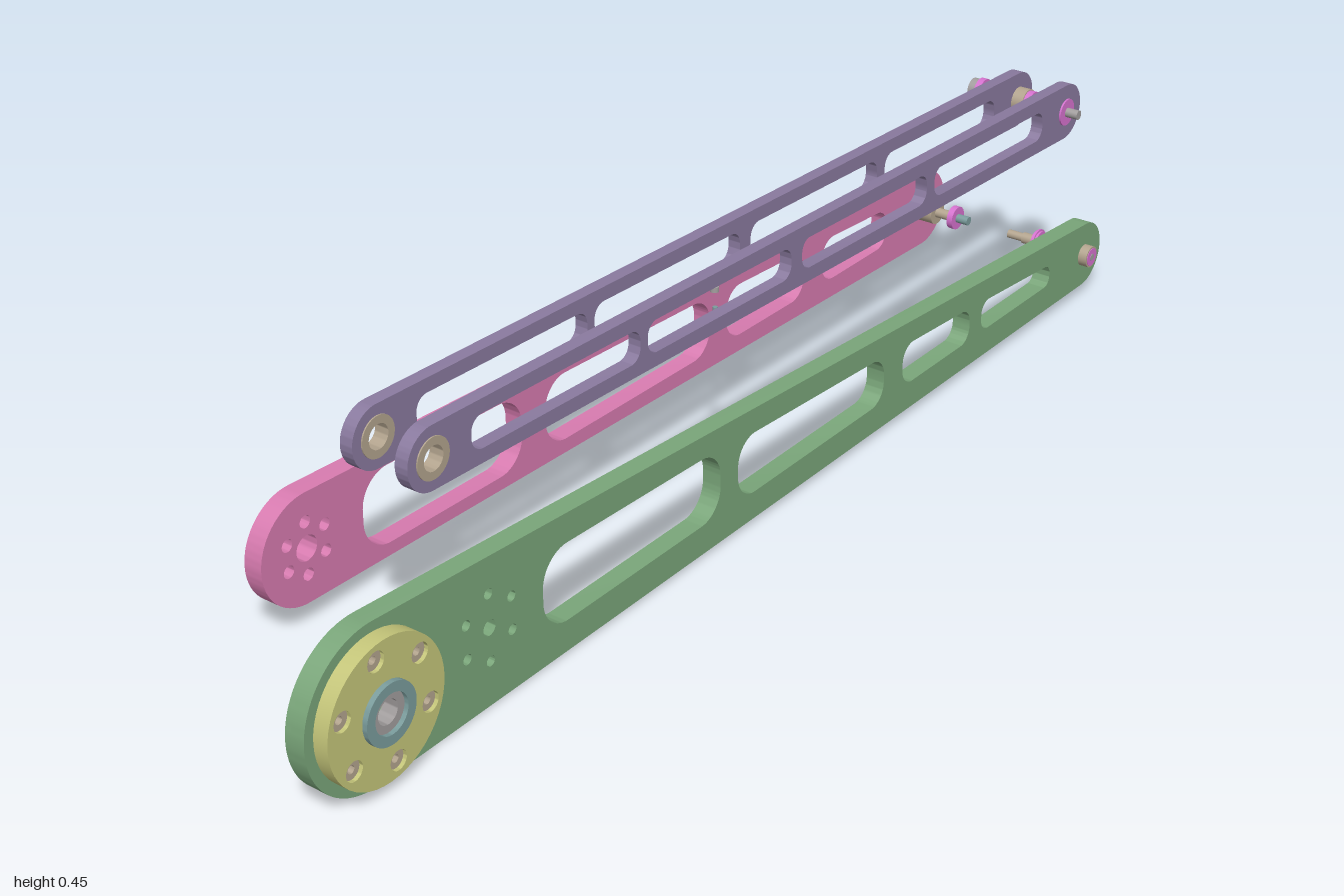
import * as THREE from 'three';
import { toCreasedNormals } from 'three/addons/utils/BufferGeometryUtils.js';

const mat = (name, color) => {
  const m = new THREE.MeshStandardMaterial({ color });
  m.name = name;
  return m;
};

export function createModel() {
  const root = new THREE.Group();
  const green = mat('green', 0x7aa67a), pink = mat('pink', 0xd87bb0), purple = mat('purple', 0x8a7a9f);
  const yellow = mat('yellow', 0xc5c67a), tan = mat('tan', 0xb3a48e), magenta = mat('magenta', 0xd672cf);
  const gray = mat('gray', 0xa29e9e), teal = mat('teal', 0x7a9c9c);

  const circle = (x, y, r) => new THREE.Path().absarc(x, y, r, 0, Math.PI * 2, true);
  const holeRing = (x, y, ringR, r, phase) => Array.from({ length: 6 }, (_, i) => {
    const a = phase + i * Math.PI / 3;
    return circle(x + ringR * Math.cos(a), y + ringR * Math.sin(a), r);
  });

  // Flat plate from z0 to z1
  function plate(name, shape, holes, z0, z1, material, parent = root) {
    shape.holes.push(...holes);
    const geo = new THREE.ExtrudeGeometry(shape, { depth: z1 - z0, bevelEnabled: false, curveSegments: 24 });
    geo.translate(0, 0, z0);
    const mesh = new THREE.Mesh(toCreasedNormals(geo, 0.6), material);
    mesh.name = name;
    parent.add(mesh);
  }

  // Two round ends joined by their outer tangents
  function armShape(x1, y1, r1, x2, y2, r2) {
    const a = Math.atan2(y2 - y1, x2 - x1);
    const b = Math.acos((r1 - r2) / Math.hypot(x2 - x1, y2 - y1));
    const s = new THREE.Shape();
    s.absarc(x2, y2, r2, a - b, a + b, false);
    s.absarc(x1, y1, r1, a + b, a - b + Math.PI * 2, false);
    s.closePath();
    return s;
  }

  // Tapered window with rounded corners
  function slot(x0, x1, b0, t0, b1, t1, round = 0.42) {
    const c = [[x0, b0], [x0, t0], [x1, t1], [x1, b1]].map(p => new THREE.Vector2(...p));
    const p = new THREE.Path();
    c.forEach((v, i) => {
      const prev = c[(i + 3) % 4], next = c[(i + 1) % 4];
      const r = round * (v.x === x0 ? t0 - b0 : t1 - b1);
      const s = prev.clone().sub(v).setLength(r).add(v), e = next.clone().sub(v).setLength(r).add(v);
      if (i) p.lineTo(s.x, s.y); else p.moveTo(s.x, s.y);
      const k = 0.45;
      const h1 = s.clone().lerp(v, 1 - k), h2 = e.clone().lerp(v, 1 - k);
      p.bezierCurveTo(h1.x, h1.y, h2.x, h2.y, e.x, e.y);
    });
    p.closePath();
    return p;
  }

  const disc = (x, y, r) => new THREE.Shape().absarc(x, y, r, 0, Math.PI * 2, false);

  // Stepped pin along z, each step is [zFront, zBack, radius, material]
  function pin(name, x, y, steps) {
    const g = new THREE.Group();
    g.name = name;
    g.position.set(x, y, 0);
    steps.forEach(([z0, z1, r, m], i) => {
      const mesh = new THREE.Mesh(new THREE.CylinderGeometry(r, r, z0 - z1, 32).rotateX(Math.PI / 2), m);
      mesh.position.z = (z0 + z1) / 2;
      mesh.name = name + 'Step' + (i + 1);
      g.add(mesh);
    });
    root.add(g);
  }

  // Front arm with hub end
  const hx = -0.878, hy = 0.123;
  plate('frontArm', armShape(hx, 0.122, 0.122, 0.924, 0.078, 0.058), [
    slot(-0.548, -0.147, 0.053, 0.177, 0.056, 0.165),
    slot(-0.104, 0.286, 0.054, 0.157, 0.058, 0.138),
    slot(0.34, 0.543, 0.06, 0.133, 0.062, 0.122),
    slot(0.58, 0.805, 0.063, 0.118, 0.065, 0.103),
    circle(hx, hy, 0.02), ...holeRing(hx, hy, 0.083, 0.008, 1.75),
    circle(-0.657, 0.123, 0.012), ...holeRing(-0.657, 0.123, 0.052, 0.008, Math.PI / 6),
  ], 0.143, 0.175, green);

  // Hub: disc, centre rings and recessed bolts
  const hub = new THREE.Group();
  hub.name = 'hub';
  root.add(hub);
  plate('hubDisc', disc(hx, hy, 0.106), [circle(hx, hy, 0.03), ...holeRing(hx, hy, 0.083, 0.015, 1.75)], 0.175, 0.199, yellow, hub);
  plate('hubRing', disc(hx, hy, 0.045), [circle(hx, hy, 0.03)], 0.199, 0.207, teal, hub);
  plate('hubSleeve', disc(hx, hy, 0.03), [circle(hx, hy, 0.018)], 0.175, 0.2, gray, hub);
  for (let i = 0; i < 6; i++) {
    const a = 1.75 + i * Math.PI / 3, bx = hx + 0.083 * Math.cos(a), by = hy + 0.083 * Math.sin(a);
    plate('hubBolt', disc(bx, by, 0.0148), [circle(bx, by, 0.006)], 0.175, 0.193, tan, hub);
  }

  // Rear arm
  plate('rearArm', armShape(-0.657, 0.123, 0.087, 0.926, 0.078, 0.07), [
    slot(-0.545, -0.2, 0.055, 0.182, 0.05, 0.172),
    slot(-0.145, 0.274, 0.05, 0.166, 0.048, 0.15),
    slot(0.32, 0.545, 0.048, 0.143, 0.048, 0.133),
    slot(0.6, 0.803, 0.048, 0.13, 0.05, 0.12),
    circle(-0.657, 0.123, 0.02), ...holeRing(-0.657, 0.123, 0.042, 0.01, Math.PI / 6),
  ], -0.189, -0.157, pink);

  // Pair of upper links with bushings
  const lx = -0.733, ly = 0.406, rx = 0.851, ry = 0.365;
  const mid = x => ly + (ry - ly) * (x - lx) / (rx - lx);
  for (const z of [0.139, 0.046]) {
    const windows = [[-0.66, -0.313], [-0.297, 0.045], [0.072, 0.414], [0.436, 0.773]].map(([a, b]) =>
      slot(a, b, mid(a) - 0.025, mid(a) + 0.025, mid(b) - 0.025, mid(b) + 0.025));
    plate('upperLink', armShape(lx, ly, 0.046, rx, ry, 0.048), [...windows, circle(lx, ly, 0.03)], z, z + 0.021, purple);
    plate('linkBushing', disc(lx, ly, 0.03), [circle(lx, ly, 0.018)], z, z + 0.023, tan);
  }

  // Pins and spacers
  pin('linkPin', rx, ry, [
    [0.185, 0.16, 0.008, gray], [0.163, 0.159, 0.023, magenta], [0.139, 0.12, 0.022, tan],
    [0.139, -0.008, 0.01, gray], [0.099, 0.088, 0.021, magenta], [0.088, 0.067, 0.023, tan],
    [0.046, 0.027, 0.022, tan], [0.003, -0.008, 0.022, magenta], [-0.008, -0.022, 0.019, gray],
  ]);
  pin('frontArmPin', 0.924, 0.078, [
    [0.191, 0.175, 0.019, tan], [0.192, 0.191, 0.016, magenta], [0.193, 0.192, 0.006, gray],
    [0.143, 0.127, 0.024, pink], [0.127, 0.09, 0.009, tan], [0.09, 0.079, 0.02, magenta],
    [0.086, 0.083, 0.023, magenta], [0.079, 0.055, 0.01, tan], [0.055, 0.025, 0.0075, tan],
  ]);
  pin('rearArmPin', 0.926, 0.078, [
    [-0.06, -0.083, 0.008, teal], [-0.083, -0.094, 0.021, magenta], [-0.094, -0.126, 0.009, tan],
    [-0.126, -0.157, 0.022, tan], [-0.189, -0.205, 0.02, teal],
  ]);

  // Loose upright screws, heads down
  function screw(name, x, z, y0, y1, headR, shaftR, m) {
    const g = new THREE.Group();
    g.name = name;
    const headH = (y1 - y0) * 0.2;
    [[headR, y0, y0 + headH], [shaftR, y0 + headH, y1]].forEach(([r, a, b], i) => {
      const mesh = new THREE.Mesh(new THREE.CylinderGeometry(r, r, b - a, 20), m);
      mesh.position.set(x, (a + b) / 2, z);
      mesh.name = name + (i ? 'Shaft' : 'Head');
      g.add(mesh);
    });
    root.add(g);
  }
  screw('smallScrew', 0.003, 0.053, 0.275, 0.298, 0.007, 0.004, teal);
  screw('largeScrew', 0.064, 0.007, 0.287, 0.329, 0.007, 0.004, gray);

  return root;
}
